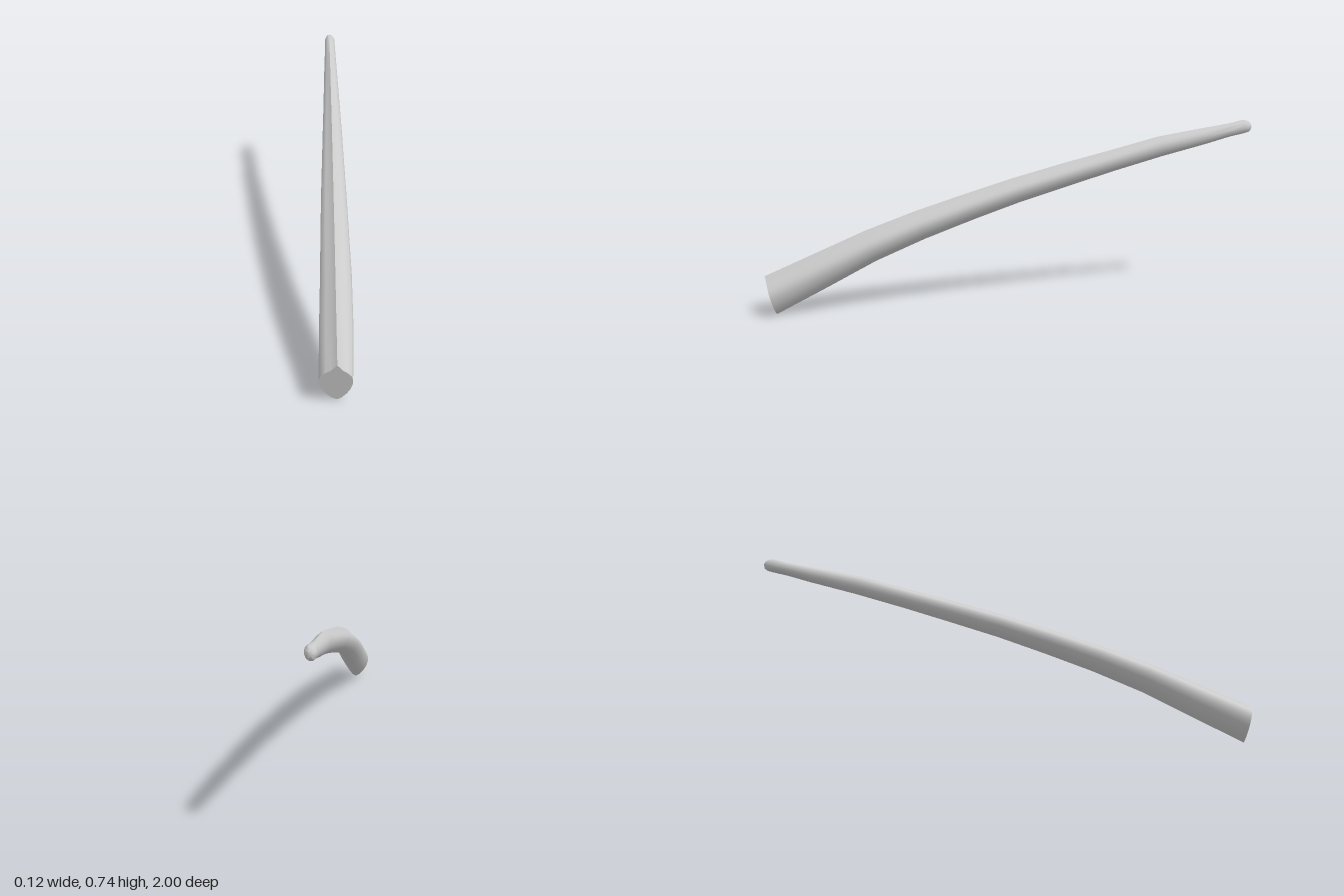
import * as THREE from 'three';
import { toCreasedNormals } from 'three/addons/utils/BufferGeometryUtils.js';

// Stations along the blade: top z, top y, bottom z, bottom y, left reach (+x), right reach (-x), roundness
const STATIONS = [
  [1.0, 0.16, 0.96, 0.0, 0.053, 0.062, 0],
  [0.8, 0.245, 0.77, 0.095, 0.06, 0.059, 0],
  [0.6, 0.33, 0.56, 0.203, 0.06, 0.054, 0],
  [0.4, 0.402, 0.36, 0.287, 0.055, 0.051, 0],
  [0.2, 0.465, 0.16, 0.36, 0.051, 0.047, 0],
  [0.0, 0.525, -0.03, 0.425, 0.046, 0.042, 0],
  [-0.2, 0.578, -0.23, 0.485, 0.042, 0.037, 0],
  [-0.4, 0.627, -0.42, 0.541, 0.037, 0.032, 0.1],
  [-0.6, 0.678, -0.62, 0.596, 0.032, 0.028, 0.3],
  [-0.8, 0.71, -0.81, 0.643, 0.028, 0.023, 0.5],
  [-0.9, 0.725, -0.9, 0.668, 0.026, 0.021, 0.7],
  [-0.96, 0.738, -0.965, 0.682, 0.025, 0.02, 0.9],
  [-0.982, 0.735, -0.985, 0.687, 0.021, 0.017, 1],
  [-0.995, 0.725, -0.996, 0.697, 0.012, 0.01, 1],
];

// Half section: sideways reach and depth from the top ridge to the bottom edge
const HALF = [
  [0, 0], [0.34, 0.15], [0.62, 0.22], [0.9, 0.32], [1, 0.43],
  [0.98, 0.55], [0.85, 0.69], [0.62, 0.82], [0.3, 0.94], [0, 1],
];

function loftBlade() {
  const mirrored = HALF.slice(1, -1).reverse().map(([x, v]) => [-x, v]);
  const section = [...HALF, ...mirrored];
  const n = section.length;
  const positions = [];
  const index = [];

  for (const [tz, ty, bz, by, left, right, round] of STATIONS) {
    section.forEach(([sx, sv], j) => {
      // blend the pointed section towards an ellipse near the tip
      const a = (j / n) * Math.PI * 2;
      const x = THREE.MathUtils.lerp(sx, Math.sin(a), round);
      const v = THREE.MathUtils.lerp(sv, (1 - Math.cos(a)) / 2, round);
      positions.push(x * (x > 0 ? left : right), ty + (by - ty) * v, tz + (bz - tz) * v);
    });
  }

  // side walls
  for (let i = 0; i < STATIONS.length - 1; i++) {
    for (let j = 0; j < n; j++) {
      const a = i * n + j, b = i * n + (j + 1) % n;
      index.push(a, b, a + n, b, b + n, a + n);
    }
  }

  // flat butt end and rounded tip
  const butt = positions.length / 3;
  positions.push(0, 0.08, 0.98, 0, 0.712, -1);
  const last = (STATIONS.length - 1) * n;
  for (let j = 0; j < n; j++) {
    const k = (j + 1) % n;
    index.push(butt, k, j, last + j, last + k, butt + 1);
  }

  const geometry = new THREE.BufferGeometry();
  geometry.setAttribute('position', new THREE.Float32BufferAttribute(positions, 3));
  geometry.setIndex(index);
  return toCreasedNormals(geometry, 0.85);
}

export function createModel() {
  const group = new THREE.Group();
  group.name = 'curvedTaperedBlade';
  const blade = new THREE.Mesh(loftBlade(), new THREE.MeshStandardMaterial({ color: 0xcccccc }));
  blade.name = 'blade';
  group.add(blade);
  return group;
}
